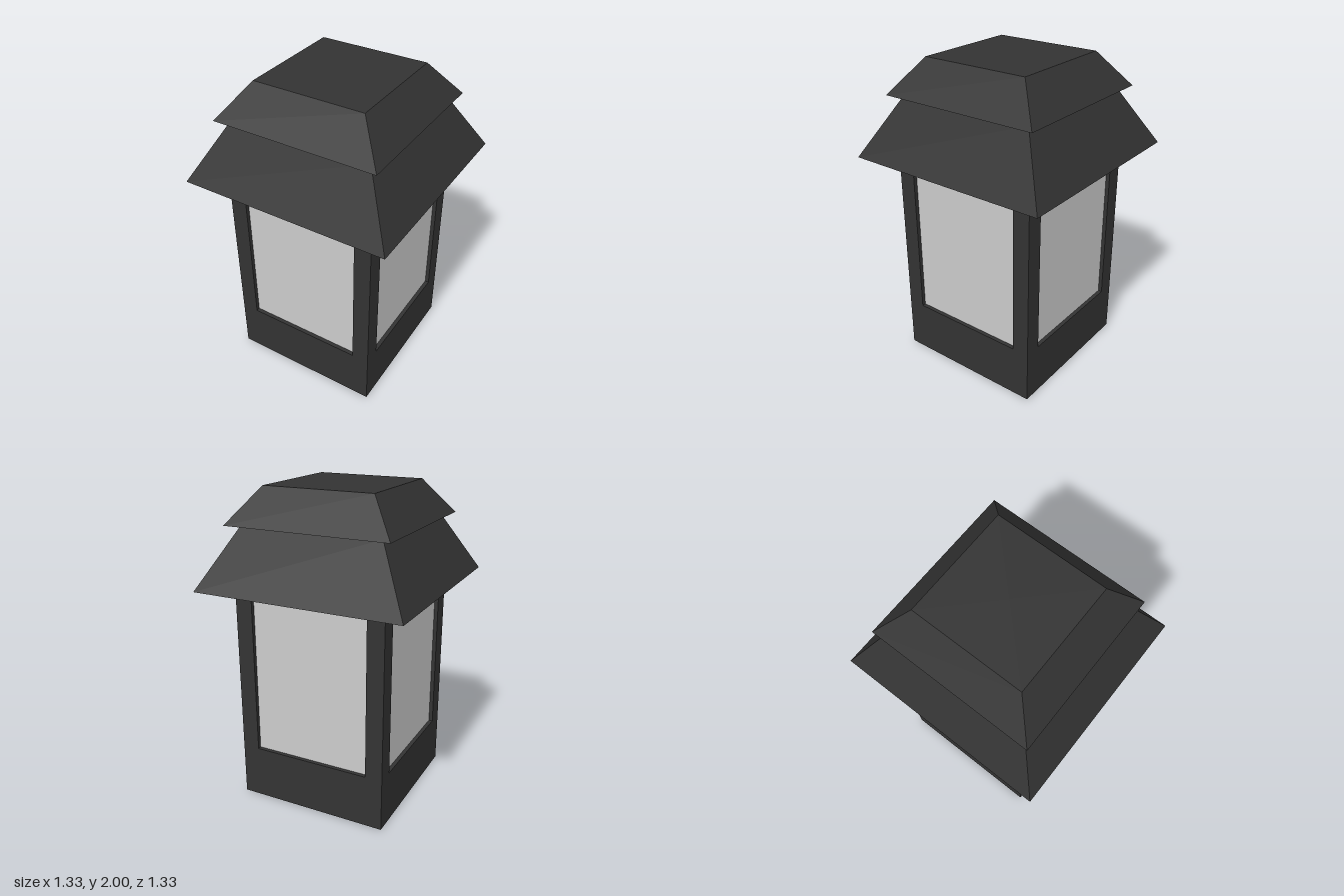
import * as THREE from 'three';

export function createModel() {
  const model = new THREE.Group();
  const dark = new THREE.MeshStandardMaterial({ color: 0x333333, flatShading: true });
  const pane = new THREE.MeshStandardMaterial({ color: 0xcccccc, flatShading: true });

  const HALF = 0.49;      // half width of the body
  const POST = 0.11;      // corner post thickness
  const RECESS = 0.025;   // how far the panes sit behind the posts
  const BASE_TOP = 0.34, EAVES = 1.4, TIER = 1.78, TOP = 2;

  function add(name, geometry, material, x, y, z) {
    const mesh = new THREE.Mesh(geometry, material);
    mesh.name = name;
    mesh.position.set(x, y, z);
    model.add(mesh);
    return mesh;
  }

  // Square frustum given by half widths at the bottom and top
  function addFrustum(name, bottom, top, y0, y1) {
    const g = new THREE.CylinderGeometry(top * Math.SQRT2, bottom * Math.SQRT2, y1 - y0, 4);
    g.rotateY(Math.PI / 4);
    add(name, g, dark, 0, (y0 + y1) / 2, 0);
  }

  // Solid base
  add('base', new THREE.BoxGeometry(HALF * 2, BASE_TOP, HALF * 2), dark, 0, BASE_TOP / 2, 0);

  // Corner posts
  const height = EAVES - BASE_TOP, midY = (EAVES + BASE_TOP) / 2;
  const postGeometry = new THREE.BoxGeometry(POST, height, POST);
  const c = HALF - POST / 2;
  for (const sx of [-1, 1]) {
    for (const sz of [-1, 1]) add('cornerPost', postGeometry, dark, sx * c, midY, sz * c);
  }

  // Recessed window panes, one per side
  const paneWidth = (HALF - POST) * 2, thickness = 0.03;
  const paneGeometry = new THREE.BoxGeometry(paneWidth, height, thickness);
  const d = HALF - RECESS - thickness / 2;
  ['frontPane', 'leftPane', 'backPane', 'rightPane'].forEach((name, i) => {
    const a = i * Math.PI / 2;
    add(name, paneGeometry, pane, Math.sin(a) * d, midY, Math.cos(a) * d).rotation.y = a;
  });

  // Two-tier roof
  addFrustum('lowerRoof', 0.665, 0.45, EAVES, TIER);
  addFrustum('upperRoof', 0.525, 0.355, TIER, TOP);

  return model;
}
